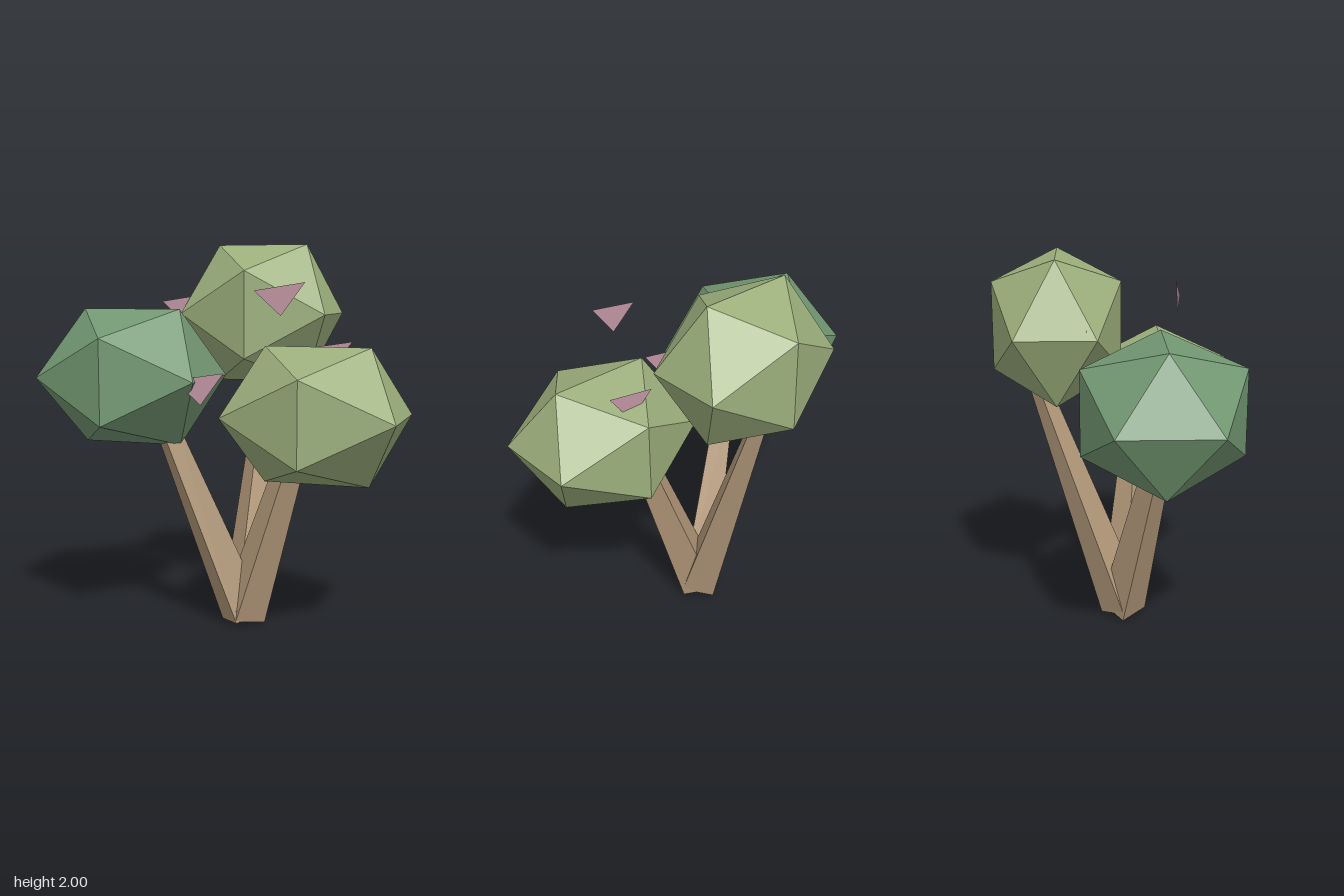
import * as THREE from 'three';

const flat = (name, color, side = THREE.FrontSide) => {
  const m = new THREE.MeshStandardMaterial({ color, side, flatShading: true });
  m.name = name;
  return m;
};

export function createModel() {
  const model = new THREE.Group();
  model.name = 'tree';
  const bark = flat('bark', 0xb3997a);
  const olive = flat('oliveLeaves', 0x9caf7c);
  const green = flat('greenLeaves', 0x739873);
  const pink = flat('pinkPetal', 0xc498a6, THREE.DoubleSide);

  const add = (name, geometry, material, x, y, z) => {
    const mesh = new THREE.Mesh(geometry, material);
    mesh.name = name;
    mesh.position.set(x, y, z);
    model.add(mesh);
    return mesh;
  };

  // Three tapered four-sided trunks fanning out from one foot
  const up = new THREE.Vector3(0, 1, 0);
  const addTrunk = (name, slopeX, slopeZ, height) => {
    const axis = new THREE.Vector3(slopeX, 1, slopeZ).multiplyScalar(height);
    const length = axis.length();
    const geometry = new THREE.CylinderGeometry(0.125 - 0.058 * height, 0.125, length, 4);
    geometry.translate(0, length / 2, 0);
    add(name, geometry, bark, 0.05, 0.045, 0.042)
      .quaternion.setFromUnitVectors(up, axis.normalize());
  };
  addTrunk('leftTrunk', 0.325, 0.085, 1.0);
  addTrunk('rightTrunk', -0.355, 0.17, 1.1);
  addTrunk('backTrunk', 0, -0.345, 1.38);

  // Faceted crowns, given by centre and half extents
  const addCrown = (name, material, centre, half) => {
    const crown = add(name, new THREE.IcosahedronGeometry(1, 0), material, ...centre);
    crown.scale.set(...half).divideScalar(0.8507);
  };
  addCrown('leftCrown', olive, [0.497, 1.153, 0.26], [0.428, 0.338, 0.37]);
  addCrown('rightCrown', green, [-0.5, 1.317, 0.213], [0.428, 0.348, 0.398]);
  addCrown('backCrown', olive, [0.048, 1.633, -0.3], [0.398, 0.367, 0.33]);

  // Flat drifting petals, all facing the front
  const petal = new THREE.ShapeGeometry(new THREE.Shape([
    new THREE.Vector2(0, 0),
    new THREE.Vector2(0.135, -0.12),
    new THREE.Vector2(0.255, 0.04),
  ]));
  [
    [0.2, 1.76, 0.345],
    [-0.18, 1.325, 0.43],
    [-0.48, 1.697, -0.15],
    [0.363, 1.465, 0.024],
  ].forEach((p, i) => add(`petal${i + 1}`, petal, pink, ...p));

  return model;
}
